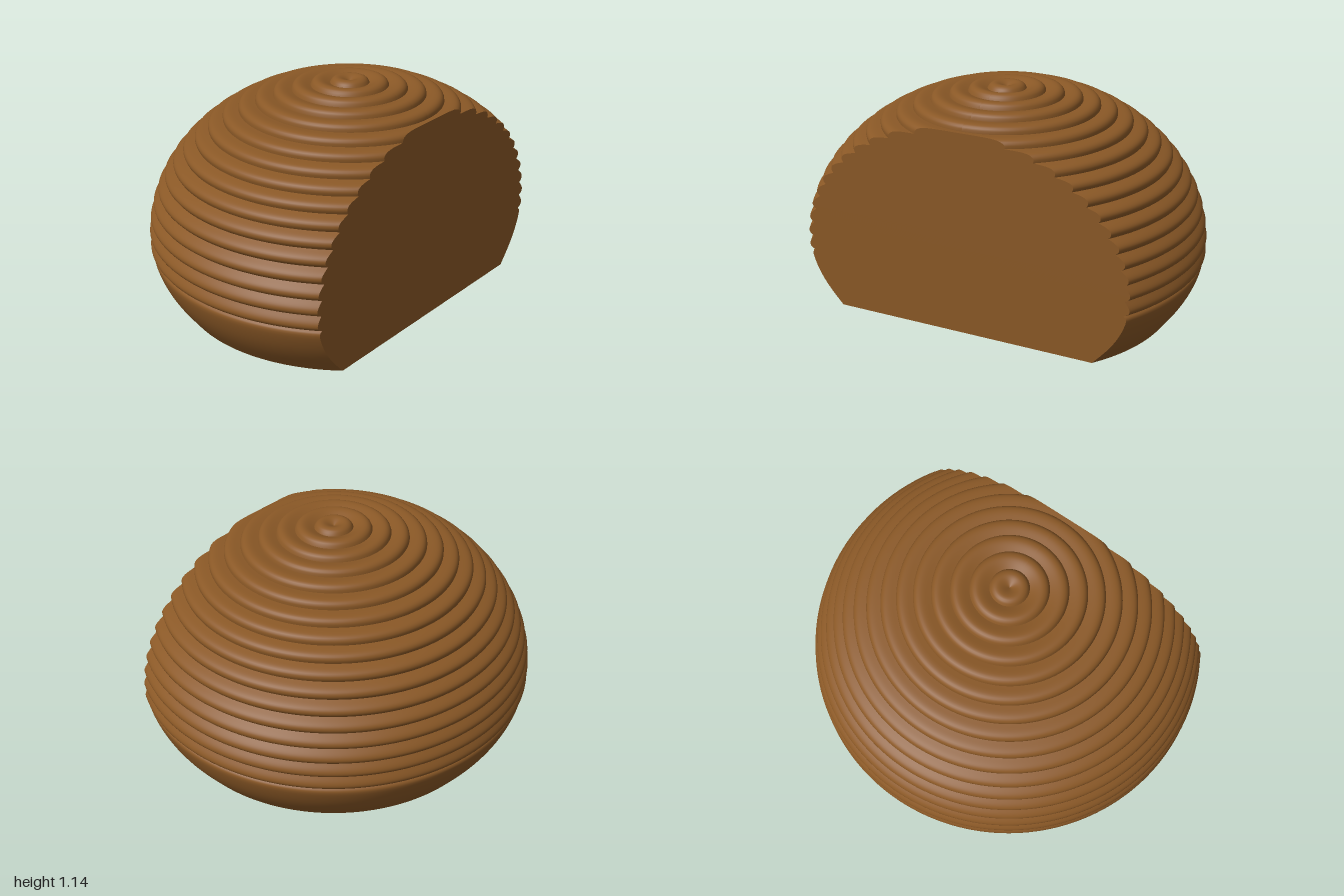
import * as THREE from 'three';

// Dome axis, and the vertical plane that slices its front off
const CX = -0.003, CZ = 0.1, CUT = 0.486;
const N = new THREE.Vector2(0.393, 0.92).normalize(); // direction the cut faces, in (x, z)
const T = new THREE.Vector2(N.y, -N.x);               // direction along the cut
const RINGS = 17, STEP = Math.PI / 32, SEGMENTS = 128;

// Outline of one rounded, slightly drooping ring
function ringProfile(i) {
  const points = [];
  for (let k = 0; k <= 12; k++) {
    const u = k / 12;
    const bulge = 0.024 * Math.pow(Math.max(0, Math.sin(Math.PI * Math.pow(u, 1.5))), 0.7);
    const a = (i + u) * STEP;
    points.push(new THREE.Vector2((0.973 + bulge) * Math.sin(a), 0.35 + (0.763 + bulge) * Math.cos(a)));
  }
  return points;
}

// Add points exactly where the outline meets the cutting plane
function splitAtCut(points) {
  const out = [points[0]];
  for (let i = 1; i < points.length; i++) {
    const a = points[i - 1], b = points[i];
    if ((a.x - CUT) * (b.x - CUT) < 0) {
      const hit = (CUT - a.x) / (b.x - a.x);
      out.push(a.clone().lerp(b, hit));
      // finer rows just outside the plane, where the gap opens quickly
      for (const f of [0.1, 0.35]) out.push(a.clone().lerp(b, b.x > a.x ? hit + (1 - hit) * f : hit));
    }
    out.push(b);
  }
  return out;
}

// Surface from rows of points; place(row, u) gives [along N, along T]
function gridGeometry(rows, columns, place) {
  const position = [], index = [];
  rows.forEach((p, j) => {
    for (let i = 0; i <= columns; i++) {
      const [n, t] = place(p, i / columns);
      position.push(CX + n * N.x + t * T.x, p.y, CZ + n * N.y + t * T.y);
      if (j < rows.length - 1 && i < columns) {
        const a = j * (columns + 1) + i, b = a + columns + 1;
        index.push(a, b, a + 1, a + 1, b, b + 1);
      }
    }
  });
  const geometry = new THREE.BufferGeometry();
  geometry.setAttribute('position', new THREE.Float32BufferAttribute(position, 3));
  geometry.setIndex(index);
  geometry.computeVertexNormals();
  return geometry;
}

// Turned surface, stopping at the cutting plane
function shellPlace(p, u) {
  const gap = p.x > CUT ? Math.acos(CUT / p.x) : 0;
  const angle = gap + u * (2 * Math.PI - 2 * gap);
  return [p.x * Math.cos(angle), p.x * Math.sin(angle)];
}

// Flat wall filling the cut
function wallPlace(p, u) {
  const half = Math.sqrt(Math.max(0, p.x * p.x - CUT * CUT));
  return [CUT, (2 * u - 1) * half];
}

export function createModel() {
  const group = new THREE.Group();
  group.name = 'ringedDome';
  const brown = new THREE.MeshStandardMaterial({ color: 0x8a5826, side: THREE.DoubleSide });
  brown.name = 'brown';

  const add = (name, geometry) => {
    const mesh = new THREE.Mesh(geometry, brown);
    mesh.name = name;
    group.add(mesh);
  };

  // Stacked rings from the crown down, then the smooth open foot
  const profiles = [];
  for (let i = 0; i < RINGS; i++) profiles.push(ringProfile(i));
  const last = profiles[RINGS - 1].at(-1);
  profiles.push(new THREE.SplineCurve([
    last, new THREE.Vector2(0.982, 0.25), new THREE.Vector2(0.955, 0.17),
    new THREE.Vector2(0.91, 0.09), new THREE.Vector2(0.842, 0),
  ]).getPoints(16));

  const outline = [];
  profiles.forEach((profile, i) => {
    const rows = splitAtCut(profile);
    add(i < RINGS ? `ring${i + 1}` : 'foot', gridGeometry(rows, SEGMENTS, shellPlace));
    outline.push(...rows);
  });

  // Flat front wall
  const wallRows = outline.filter((p) => p.x >= CUT - 1e-6);
  add('cutWall', gridGeometry(wallRows, 1, wallPlace).toNonIndexed());
  const wall = group.getObjectByName('cutWall').geometry;
  const normals = wall.attributes.normal;
  for (let i = 0; i < normals.count; i++) normals.setXYZ(i, N.x, 0, N.y);

  return group;
}
